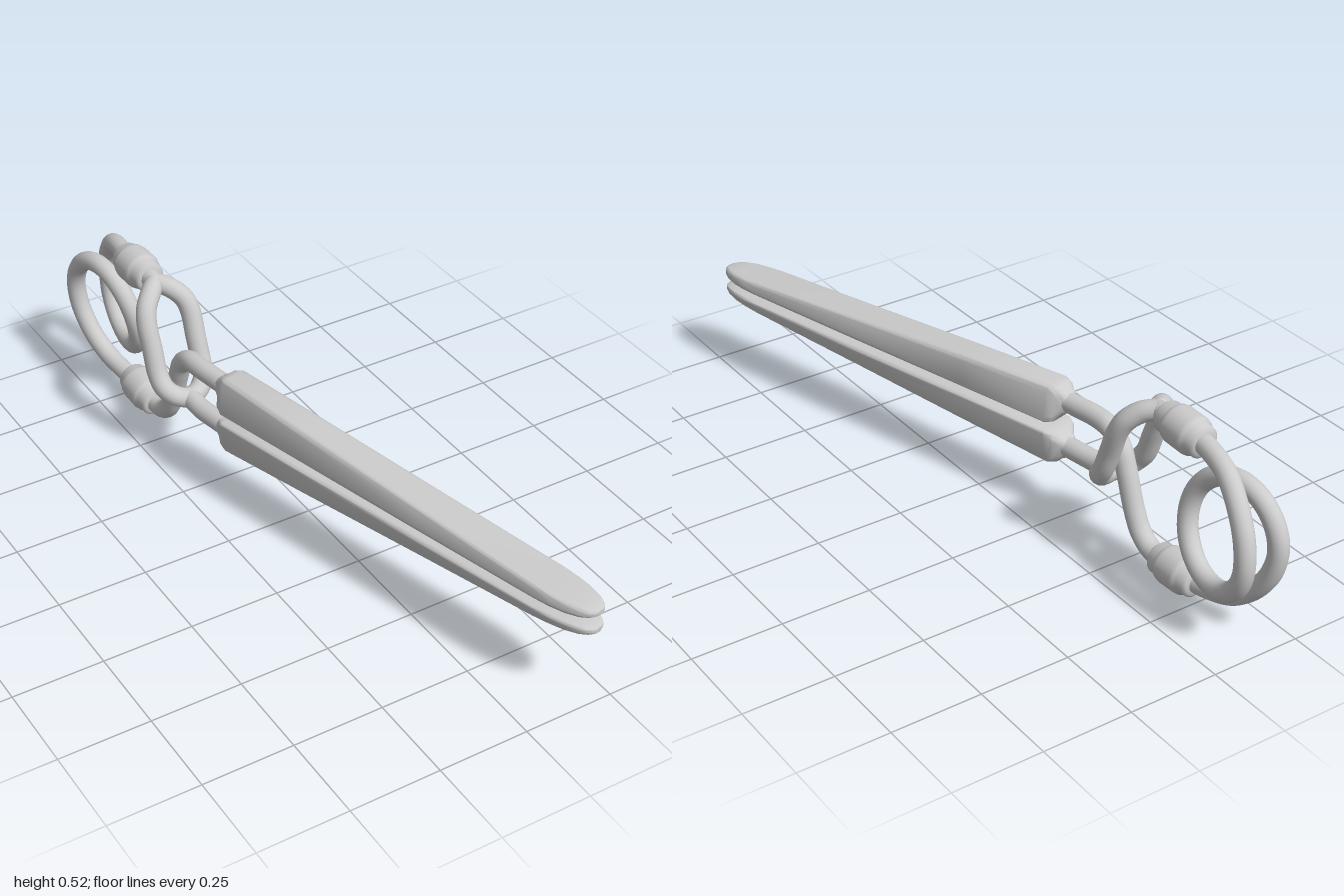
import * as THREE from 'three';
import { toCreasedNormals } from 'three/addons/utils/BufferGeometryUtils.js';

const MID = 0.2625;   // height of the mirror plane between both halves
const CX = -0.145;    // x of the wire assembly
const material = new THREE.MeshStandardMaterial({ color: 0xcccccc });

function part(name, geometry) {
  const mesh = new THREE.Mesh(geometry, material);
  mesh.name = name;
  return mesh;
}

function wire(name, points, radius, segments = 80) {
  const curve = new THREE.CatmullRomCurve3(points.map(p => new THREE.Vector3(...p)), false, 'centripetal');
  return part(name, new THREE.TubeGeometry(curve, segments, radius, 16, false));
}

// Rounded trapezoid: half widths at the inner (b) and outer (t) face, heights y0..y1
function section(wb, wt, y0, y1, r) {
  const corners = [[wb, y0], [wt, y1], [-wt, y1], [-wb, y0]].map(p => new THREE.Vector2(...p));
  const out = [];
  corners.forEach((c, i) => {
    const towards = k => {
      const d = corners[k % 4].clone().sub(c);
      return c.clone().add(d.setLength(Math.min(r, d.length() * 0.45)));
    };
    const bend = new THREE.QuadraticBezierCurve(towards(i + 3), c, towards(i + 1));
    out.push(...bend.getPoints(4));
  });
  return out;
}

// Long tapered jaw lofted along z; side = 1 upper, -1 lower
function jaw(name, side) {
  // z, inner half width, outer half width, inner height, outer height, corner radius
  const stations = [
    [-0.035, 0.026, 0.024, 0.043, 0.093, 0.02],
    [-0.022, 0.033, 0.027, 0.036, 0.1, 0.02],
    [-0.008, 0.05, 0.036, 0.018, 0.112, 0.02],
    [0.012, 0.058, 0.04, 0.012, 0.117, 0.016],
    [0.3, 0.06, 0.044, 0.012, 0.1, 0.015],
    [0.7, 0.062, 0.05, 0.012, 0.073, 0.013],
    [1.08, 0.062, 0.055, 0.012, 0.049, 0.011],
  ];
  // Rounded tip
  for (const a of [0.3, 0.6, 0.9, 1.15, 1.35, 1.48]) {
    const w = 0.062 * Math.cos(a) ** 0.75, k = Math.sin(a) ** 6;
    stations.push([1.08 + 0.16 * Math.sin(a), w, w * 0.9,
      0.012 + 0.008 * k, 0.047 - 0.006 * Math.sin(a) - 0.007 * k, 0.011]);
  }
  const rings = stations.map(([z, ...s]) => section(...s).map(p => [p.x, p.y * side, z]));
  const n = rings[0].length, pos = [], index = [];
  rings.forEach(ring => ring.forEach(p => pos.push(...p)));
  const tri = (a, b, c) => (side > 0 ? index.push(a, b, c) : index.push(a, c, b));
  for (let i = 0; i < rings.length - 1; i++) {
    for (let j = 0; j < n; j++) {
      const a = i * n + j, b = i * n + (j + 1) % n;
      tri(a, b, b + n);
      tri(a, b + n, a + n);
    }
  }
  const last = (rings.length - 1) * n;
  for (let j = 1; j < n - 1; j++) {
    tri(0, j + 1, j);
    tri(last, last + j, last + j + 1);
  }
  const geo = new THREE.BufferGeometry();
  geo.setAttribute('position', new THREE.Float32BufferAttribute(pos, 3));
  geo.setIndex(index);
  const mesh = part(name, toCreasedNormals(geo, 0.6));
  mesh.position.set(-0.12, MID, -0.2);
  mesh.rotation.y = 0.258;
  return mesh;
}

function ferrule(name, y, tilt) {
  const profile = [[0.02, -0.077], [0.034, -0.076], [0.043, -0.068], [0.044, -0.05], [0.051, -0.042],
    [0.053, -0.03], [0.053, 0.025], [0.05, 0.037], [0.044, 0.045], [0.043, 0.068], [0.036, 0.076], [0.02, 0.077]];
  const geo = new THREE.LatheGeometry(profile.map(p => new THREE.Vector2(...p)), 28);
  geo.rotateX(Math.PI / 2);
  const mesh = part(name, geo);
  mesh.position.set(CX, y, -0.67);
  mesh.rotation.x = tilt;
  return mesh;
}

export function createModel() {
  const model = new THREE.Group();
  model.add(jaw('upperJaw', 1), jaw('lowerJaw', -1));

  // Single arm: upper jaw down to the lower ferrule
  model.add(wire('singleArm', [
    [-0.12, 0.33, -0.19], [-0.132, 0.33, -0.26], [-0.143, 0.33, -0.33], [CX, 0.322, -0.385],
    [CX, 0.29, -0.427], [CX, 0.24, -0.45], [CX, 0.135, -0.49], [CX, 0.085, -0.52],
    [CX, 0.058, -0.56], [CX, 0.053, -0.62], [CX, 0.057, -0.68],
  ], 0.028));

  // Forked arm: lower jaw, open link around the single arm, upper ferrule
  model.add(wire('forkStem', [
    [-0.12, 0.195, -0.19], [-0.132, 0.195, -0.26], [-0.143, 0.195, -0.33], [CX, 0.2, -0.395],
  ], 0.028, 30));
  for (const s of [-1, 1]) {
    model.add(wire(s > 0 ? 'linkLeft' : 'linkRight', [
      [CX, 0.198, -0.385], [CX + s * 0.035, 0.207, -0.4], [CX + s * 0.06, 0.23, -0.42],
      [CX + s * 0.067, 0.265, -0.445], [CX + s * 0.067, 0.33, -0.47], [CX + s * 0.067, 0.4, -0.497],
      [CX + s * 0.057, 0.435, -0.515], [CX + s * 0.03, 0.462, -0.54], [CX, 0.473, -0.57],
    ], 0.028, 60));
  }
  model.add(wire('forkNeck', [
    [CX, 0.466, -0.55], [CX, 0.473, -0.6], [CX, 0.468, -0.68],
  ], 0.028, 20));

  model.add(ferrule('upperFerrule', 0.468, -0.04), ferrule('lowerFerrule', 0.057, 0.04));

  // Coil spring: upper arm, one and a half turns, lower arm
  const spring = [[CX, 0.468, -0.68], [-0.14, 0.466, -0.76], [-0.125, 0.446, -0.85],
    [-0.11, 0.402, -0.91], [-0.098, 0.333, -0.957]];
  for (let i = 0; i <= 16; i++) {
    const a = (i / 16) * Math.PI * 2;
    spring.push([CX + 0.052 * Math.cos(a / 2), MID - 0.135 * Math.sin(a), -0.837 - 0.135 * Math.cos(a)]);
  }
  spring.push([-0.192, 0.192, -0.957], [-0.18, 0.123, -0.91], [-0.165, 0.079, -0.85],
    [-0.15, 0.059, -0.76], [CX, 0.057, -0.68]);
  model.add(wire('coilSpring', spring, 0.027, 180));
  return model;
}
